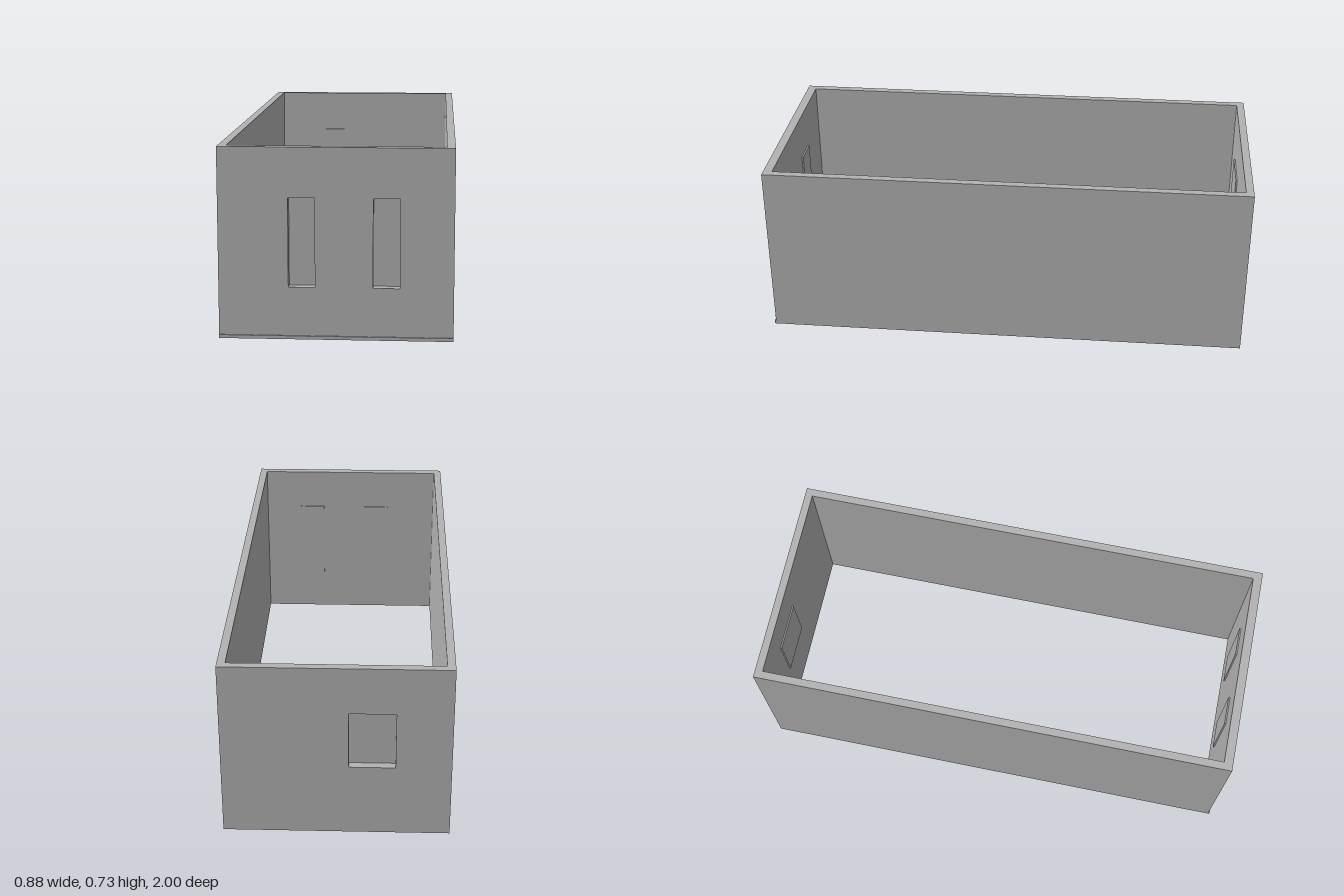
import * as THREE from 'three';

const H = 0.73;        // wall height
const X_OUT = 0.442;   // outer half width
const X_IN = 0.41;     // inner half width
const FRONT_OUT = 0.994, FRONT_IN = 0.957;
const BACK_OUT = -1, BACK_IN = -0.968;
const PANE = 0.006;    // thickness of the panes set on the inner faces
const MARGIN = 0.01;   // overlap of a pane around its opening

// Openings as [x0, x1, y0, y1]
const frontOpenings = [[-0.178, -0.078, 0.2, 0.54], [0.14, 0.24, 0.2, 0.54]];
const backOpenings = [[-0.227, -0.048, 0.3, 0.537]];

function rectPoints([x0, x1, y0, y1]) {
  return [[x0, y0], [x1, y0], [x1, y1], [x0, y1]].map(([x, y]) => new THREE.Vector2(x, y));
}

export function createModel() {
  const group = new THREE.Group();
  group.name = 'openShell';
  const grey = new THREE.MeshStandardMaterial({ color: 0xb2b2b2 });
  grey.name = 'plainGrey';

  const add = (name, geometry) => {
    const mesh = new THREE.Mesh(geometry, grey);
    mesh.name = name;
    group.add(mesh);
    return mesh;
  };

  const addBox = (name, x0, x1, y0, y1, z0, z1) => {
    const mesh = add(name, new THREE.BoxGeometry(x1 - x0, y1 - y0, z1 - z0));
    mesh.position.set((x0 + x1) / 2, (y0 + y1) / 2, (z0 + z1) / 2);
  };

  // End wall with rectangular window openings cut through it
  const addEndWall = (name, openings, z0, z1) => {
    const shape = new THREE.Shape(rectPoints([-X_IN, X_IN, 0, H]));
    for (const o of openings) shape.holes.push(new THREE.Path(rectPoints(o).reverse()));
    const geometry = new THREE.ExtrudeGeometry(shape, { depth: z1 - z0, bevelEnabled: false });
    add(name, geometry).position.z = z0;
  };

  // Thin panes closing the openings from inside
  const addPanes = (name, openings, z0) => {
    for (const [x0, x1, y0, y1] of openings) {
      addBox(name, x0 - MARGIN, x1 + MARGIN, y0 - MARGIN, y1 + MARGIN, z0, z0 + PANE);
    }
  };

  // Long side walls
  addBox('leftWall', X_IN, X_OUT, 0, H, BACK_OUT, FRONT_OUT);
  addBox('rightWall', -X_OUT, -X_IN, 0, H, BACK_OUT, FRONT_OUT);

  // End walls and their windows
  addEndWall('frontWall', frontOpenings, FRONT_IN, FRONT_OUT);
  addEndWall('backWall', backOpenings, BACK_OUT, BACK_IN);
  addPanes('frontPane', frontOpenings, FRONT_IN - PANE);
  addPanes('backPane', backOpenings, BACK_IN);

  // Shallow lip along the foot of the front wall
  addBox('frontLip', -X_OUT, X_OUT, 0, 0.013, FRONT_OUT, 1);

  return group;
}
